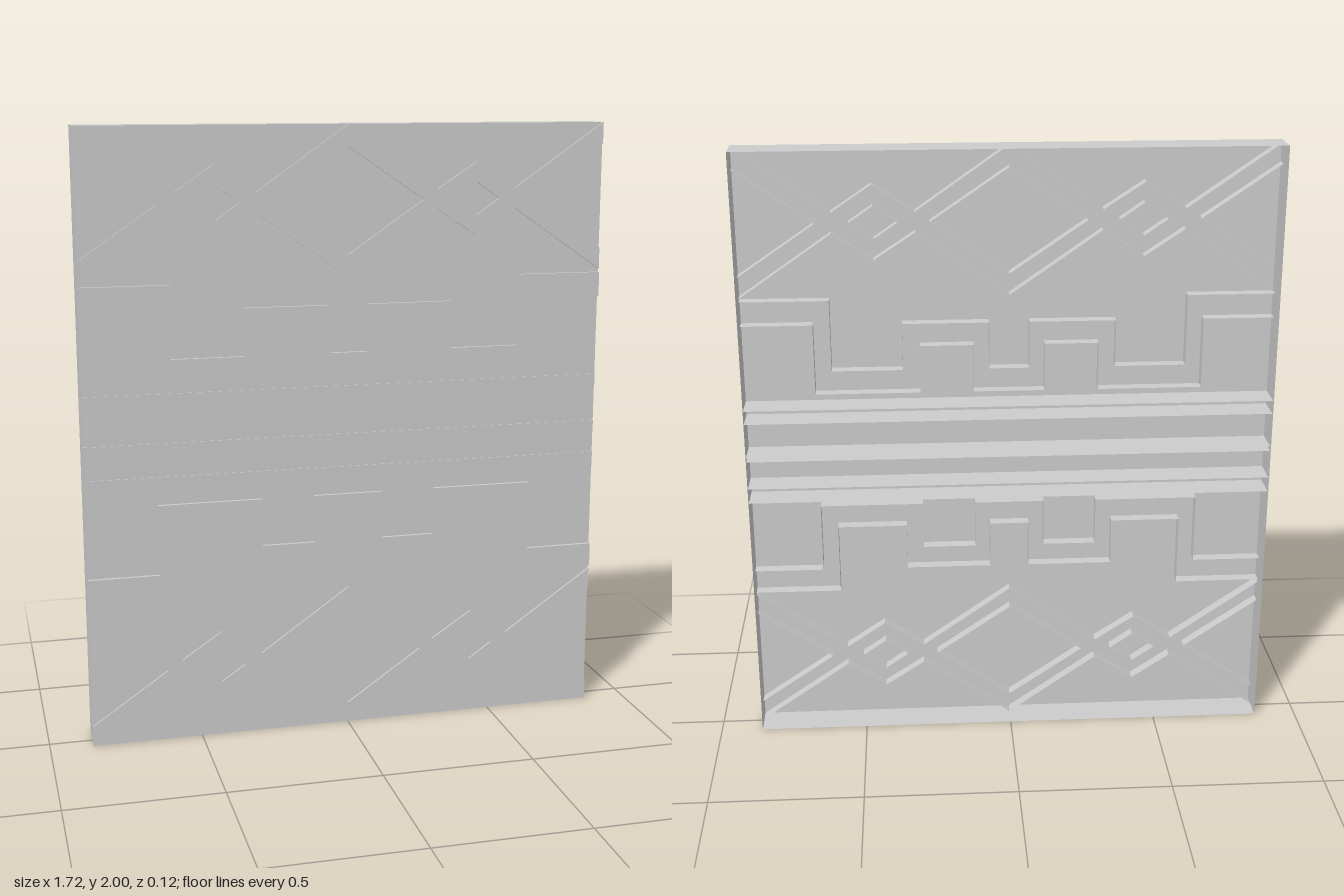
import * as THREE from 'three';
import { mergeGeometries } from 'three/addons/utils/BufferGeometryUtils.js';

const W = 0.86, FRONT = 0.05, BACK = -0.062;
const material = new THREE.MeshStandardMaterial({ color: 0xcccccc, side: THREE.DoubleSide });

// Front face plus side walls of an outline, left open at the back
function hollowRelief(outline, holes, zBack, zFront) {
  const toVectors = (pts) => pts.map(([x, y]) => new THREE.Vector2(x, y));
  const wound = (pts, clockwise) =>
    THREE.ShapeUtils.isClockWise(pts) === clockwise ? pts : pts.reverse();
  const contour = wound(toVectors(outline), false);
  const openings = holes.map((h) => wound(toVectors(h), true));

  const shape = new THREE.Shape(contour);
  shape.holes = openings.map((h) => new THREE.Path(h));
  const face = new THREE.ShapeGeometry(shape).toNonIndexed();
  face.translate(0, 0, zFront);
  face.deleteAttribute('uv');

  const pos = [];
  for (const loop of [contour, ...openings]) {
    loop.forEach((a, i) => {
      const b = loop[(i + 1) % loop.length];
      const quad = [[a, zBack], [b, zBack], [b, zFront], [a, zFront]];
      for (const k of [0, 1, 2, 0, 2, 3]) pos.push(quad[k][0].x, quad[k][0].y, quad[k][1]);
    });
  }
  const walls = new THREE.BufferGeometry();
  walls.setAttribute('position', new THREE.Float32BufferAttribute(pos, 3));
  walls.computeVertexNormals();
  return mergeGeometries([face, walls]);
}

// Completes a left half (running towards x = 0) with its mirror image
function mirrorX(half) {
  const other = half.filter(([x]) => x !== 0).map(([x, y]) => [-x, y]).reverse();
  return [...half, ...other];
}

const diamond = (cx, cy, rx, ry) => [[cx - rx, cy], [cx, cy + ry], [cx + rx, cy], [cx, cy - ry]];

export function createModel() {
  const group = new THREE.Group();
  const add = (name, geometry) => {
    const mesh = new THREE.Mesh(geometry, material);
    mesh.name = name;
    group.add(mesh);
  };

  // Shallow tray: a box without its back face
  const tray = new THREE.BoxGeometry(2 * W, 2, FRONT - BACK);
  tray.setIndex(Array.from(tray.index.array).slice(0, 30));
  tray.clearGroups();
  tray.translate(0, 1, (FRONT + BACK) / 2);
  add('panel', tray);

  // Crossing zigzags, upper half-height edge and its reflection about the band centre
  const mid = 1.76;
  const upperEdge = mirrorX([[-W, 2], [-0.56, 1.793], [-0.43, 1.88], [-0.297, 1.793], [0, 2]]);
  const lowerEdge = upperEdge.map(([x, y]) => [x, 2 * mid - y]).reverse();
  const latticeOutline = [
    ...upperEdge, [W, 1.93], [0.61, mid], [W, 1.59],
    ...lowerEdge, [-W, 1.59], [-0.61, mid], [-W, 1.93],
  ];
  const latticeHoles = [
    diamond(-0.428, mid, 0.077, 0.053),
    diamond(0, mid, 0.25, 0.17),
    diamond(0.428, mid, 0.077, 0.053),
  ];

  // Stepped key band
  const keyTop = mirrorX([
    [-W, 1.51], [-0.575, 1.51], [-0.575, 1.275], [-0.345, 1.275],
    [-0.345, 1.43], [-0.065, 1.43], [-0.065, 1.275],
  ]);
  const keyBottom = mirrorX([
    [-W, 1.43], [-0.63, 1.43], [-0.63, 1.197], [-0.29, 1.197],
    [-0.29, 1.355], [-0.115, 1.355], [-0.115, 1.197],
  ]);
  // The key's raised middle steps join across the centre line
  const keyOutline = [...keyTop, ...keyBottom.reverse()];

  // Both bands repeat, mirrored about mid height
  for (const [side, flip] of [['upper', (p) => p], ['lower', ([x, y]) => [x, 2 - y]]]) {
    add(`${side}DiamondBand`,
      hollowRelief(latticeOutline.map(flip), latticeHoles.map((h) => h.map(flip)), 0.01, 0.057));
    add(`${side}SteppedBand`, hollowRelief(keyOutline.map(flip), [], 0.01, 0.062));
  }

  // Three straight ribs across the middle, running deep into the tray
  [[1.12, 1.165], [0.99, 1.005], [0.845, 0.895]].forEach(([y0, y1], i) => {
    const outline = [[-W, y0], [W, y0], [W, y1], [-W, y1]];
    add(`middleRib${i + 1}`, hollowRelief(outline, [], -0.052, 0.053));
  });

  return group;
}
